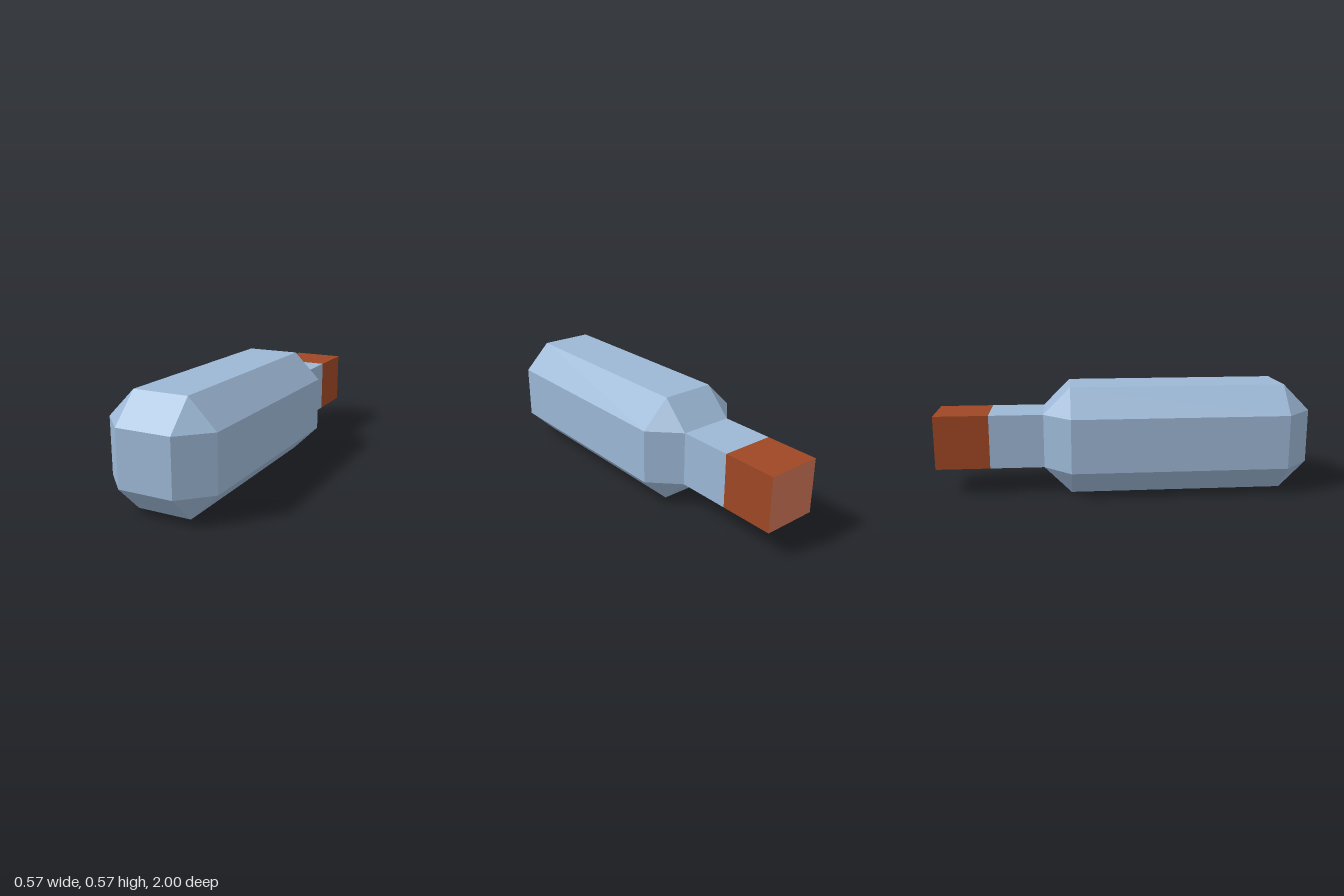
import * as THREE from 'three';
import { ConvexGeometry } from 'three/addons/geometries/ConvexGeometry.js';

const U = 1 / 7; // the chamfer size; every dimension is a multiple of it

// Box with half sizes hx, hy, hz whose edges and corners are all cut by c
function chamferedBox(hx, hy, hz, c) {
  const points = [];
  for (const sx of [-1, 1]) for (const sy of [-1, 1]) for (const sz of [-1, 1]) {
    points.push(
      new THREE.Vector3(sx * hx, sy * (hy - c), sz * (hz - c)),
      new THREE.Vector3(sx * (hx - c), sy * hy, sz * (hz - c)),
      new THREE.Vector3(sx * (hx - c), sy * (hy - c), sz * hz)
    );
  }
  return new ConvexGeometry(points);
}

export function createModel() {
  const material = (name, color) => {
    const m = new THREE.MeshStandardMaterial({ color });
    m.name = name;
    return m;
  };
  const blue = material('steel blue', 0x9cb7d5);
  const rust = material('rust brown', 0x9e4724);
  const clay = material('light clay', 0xcd7355);

  const model = new THREE.Group();
  const add = (name, geometry, mat, z) => {
    const mesh = new THREE.Mesh(geometry, mat);
    mesh.name = name;
    mesh.position.set(0, 2 * U, z);
    model.add(mesh);
  };

  // Long chamfered body
  add('body', chamferedBox(2 * U, 2 * U, 5 * U, U), blue, 2 * U);

  // Square neck, then the tip with a lighter back face
  const block = new THREE.BoxGeometry(2 * U, 2 * U, 2 * U);
  add('neck', block, blue, -4 * U);
  add('tip', block, [rust, rust, rust, rust, rust, clay], -6 * U);

  return model;
}
